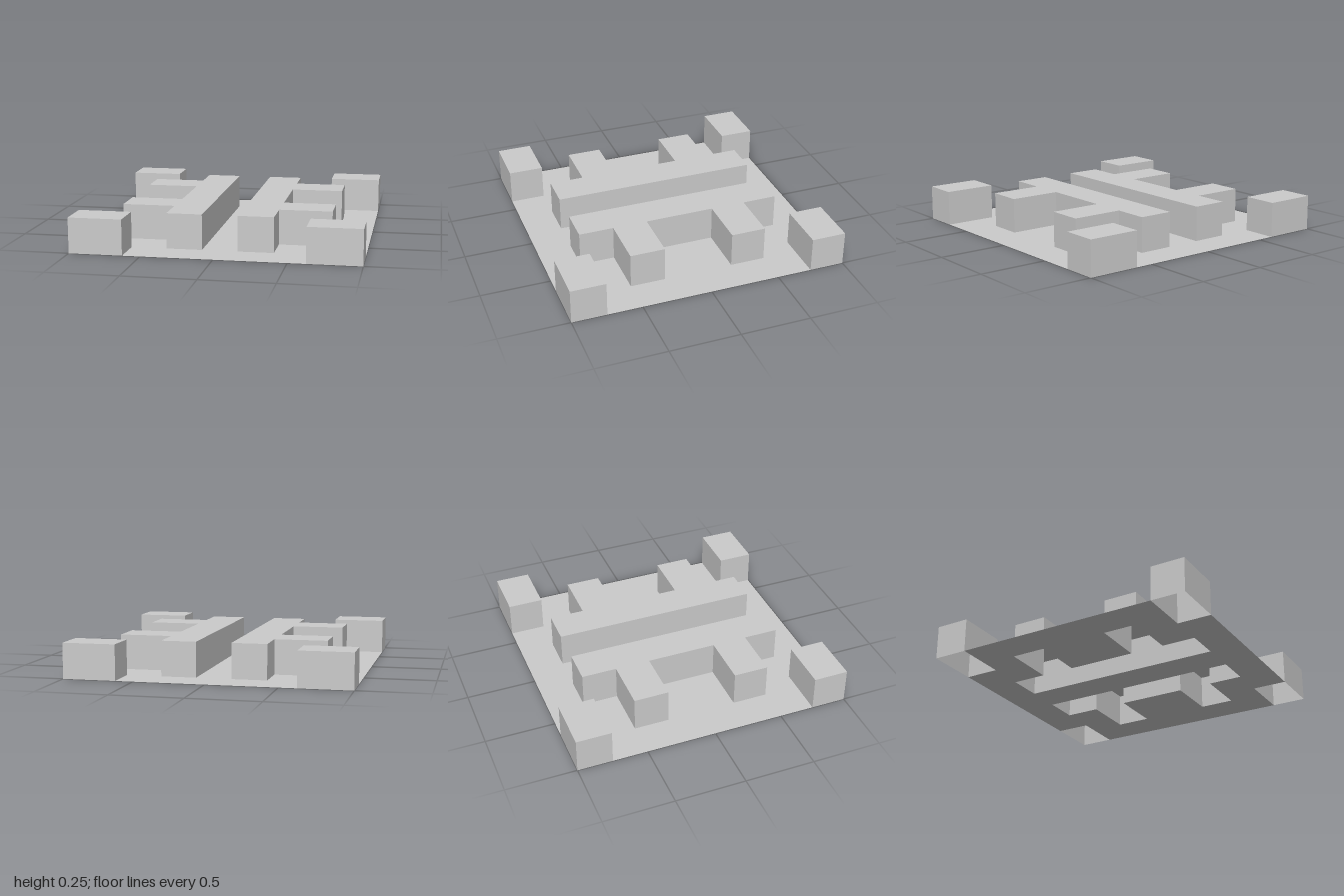
import * as THREE from 'three';

const HEIGHT = 0.25;
const material = new THREE.MeshStandardMaterial({ color: 0xcccccc, flatShading: true, side: THREE.DoubleSide });

const toPoints = (list, sx = 1, sz = 1) => list.map(([x, z]) => new THREE.Vector2(x * sx, -z * sz));

// Hollow block, open underneath: an extruded outline without its bottom cap
function hollowBlock(points, name) {
  const geometry = new THREE.ExtrudeGeometry(new THREE.Shape(points), { depth: HEIGHT, bevelEnabled: false });
  geometry.rotateX(-Math.PI / 2);
  const source = geometry.getAttribute('position');
  const kept = [];
  for (let i = 0; i < source.count; i += 3) {
    const corners = [i, i + 1, i + 2];
    if (corners.every((k) => source.getY(k) < 0.001)) continue;
    for (const k of corners) kept.push(source.getX(k), source.getY(k), source.getZ(k));
  }
  const open = new THREE.BufferGeometry();
  open.setAttribute('position', new THREE.Float32BufferAttribute(kept, 3));
  open.computeVertexNormals();
  const mesh = new THREE.Mesh(open, material);
  mesh.name = name;
  return mesh;
}

export function createModel() {
  const model = new THREE.Group();
  model.name = 'blockArena';

  // Long wall with two arms reaching outward
  const wall = [
    [0.125, -0.75], [0.375, -0.75], [0.375, -0.5], [0.75, -0.5], [0.75, -0.25], [0.375, -0.25],
    [0.375, 0.25], [0.75, 0.25], [0.75, 0.5], [0.375, 0.5], [0.375, 0.75], [0.125, 0.75],
  ];
  const corner = [[0.625, 0.75], [1, 0.75], [1, 1], [0.625, 1]];

  // Floor sheet, notched at the corners and cut out beneath the walls
  const floorShape = new THREE.Shape(toPoints([
    [-0.625, 1], [0.625, 1], [0.625, 0.75], [1, 0.75], [1, -0.75], [0.625, -0.75],
    [0.625, -1], [-0.625, -1], [-0.625, -0.75], [-1, -0.75], [-1, 0.75], [-0.625, 0.75],
  ]));

  for (const [sx, side] of [[1, 'left'], [-1, 'right']]) {
    const outline = toPoints(wall, sx);
    floorShape.holes.push(new THREE.Path(outline));
    model.add(hollowBlock(outline, side + 'Wall'));

    // Corner blocks
    for (const [sz, end] of [[1, 'Front'], [-1, 'Back']]) {
      model.add(hollowBlock(toPoints(corner, sx, sz), side + end + 'CornerBlock'));
    }
  }

  const floor = new THREE.Mesh(new THREE.ShapeGeometry(floorShape).rotateX(-Math.PI / 2), material);
  floor.name = 'floor';
  model.add(floor);
  return model;
}
